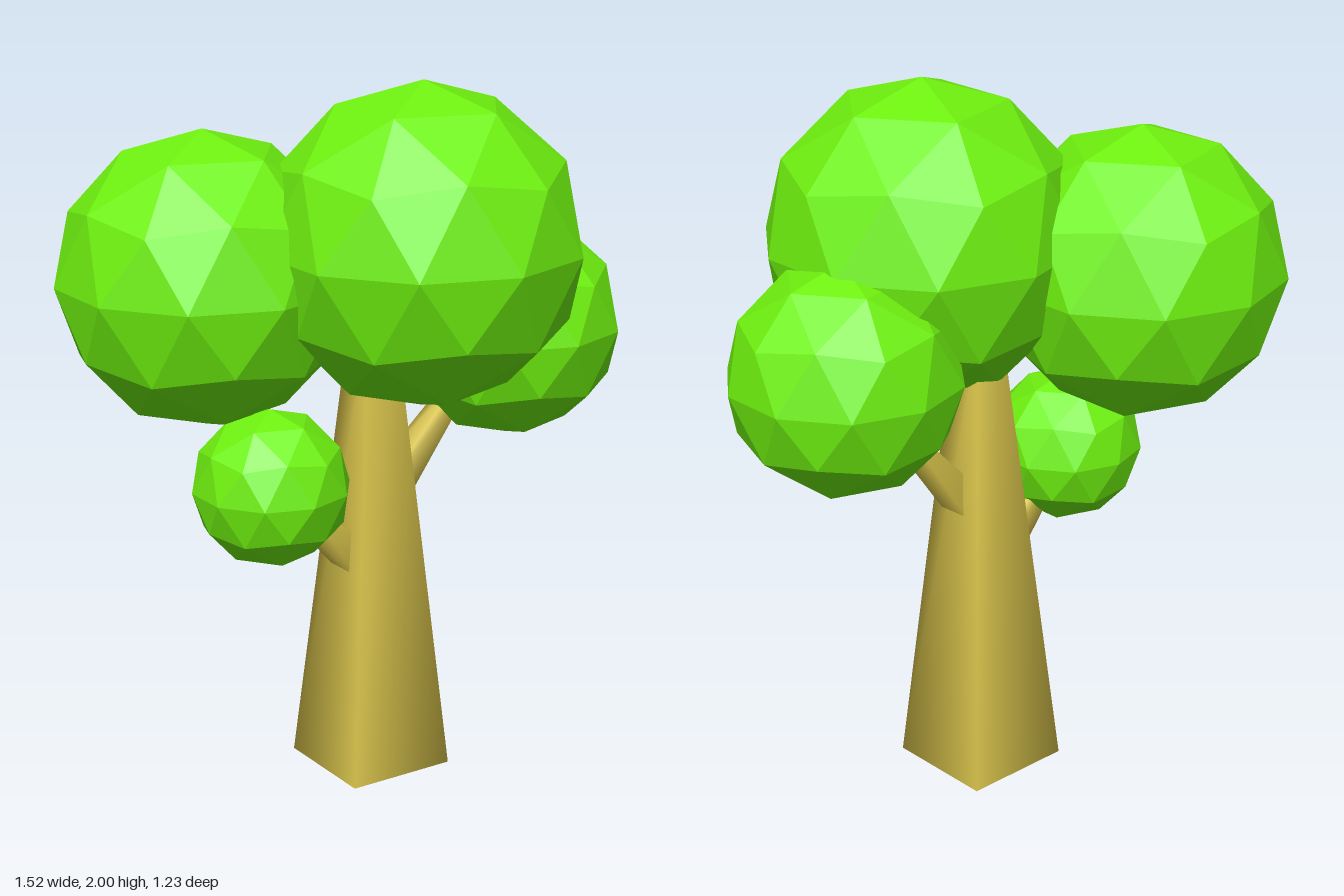
import * as THREE from 'three';
import { mergeVertices } from 'three/addons/utils/BufferGeometryUtils.js';

const bark = new THREE.MeshStandardMaterial({ color: 0xddc84d });
const leaf = new THREE.MeshStandardMaterial({ color: 0x6ef00f, flatShading: true });

// Tapered four-sided limb with smooth shading, running from one point to another
function limb(name, from, to, baseWidth, tipWidth) {
  const a = new THREE.Vector3(...from);
  const dir = new THREE.Vector3(...to).sub(a);
  const length = dir.length();
  let geo = new THREE.BoxGeometry(1, length, 1).translate(0, length / 2, 0);
  const p = geo.attributes.position;
  for (let i = 0; i < p.count; i++) {
    const w = p.getY(i) > length / 2 ? tipWidth : baseWidth;
    p.setX(i, p.getX(i) * w);
    p.setZ(i, p.getZ(i) * w);
  }
  geo.deleteAttribute('normal');
  geo.deleteAttribute('uv');
  geo = mergeVertices(geo);
  geo.computeVertexNormals();
  const mesh = new THREE.Mesh(geo, bark);
  mesh.name = name;
  mesh.position.copy(a);
  mesh.quaternion.setFromUnitVectors(new THREE.Vector3(0, 1, 0), dir.normalize());
  return mesh;
}

// Faceted ball standing on a corner: two poles and two staggered rings of five
function foliage(name, center, radius) {
  const verts = [0, 1, 0];
  const faces = [];
  const h = 1 / Math.sqrt(5), r = 2 * h;
  for (let i = 0; i < 10; i++) {
    const t = (i * Math.PI) / 5;
    verts.push(r * Math.cos(t), i % 2 ? -h : h, -r * Math.sin(t));
  }
  verts.push(0, -1, 0);
  for (let i = 0; i < 10; i++) {
    const a = 1 + i, b = 1 + ((i + 1) % 10), c = 1 + ((i + 2) % 10);
    if (i % 2) faces.push(a, c, b, 11, c, a);
    else faces.push(a, b, c, 0, a, c);
  }
  const mesh = new THREE.Mesh(new THREE.PolyhedronGeometry(verts, faces, radius, 1), leaf);
  mesh.name = name;
  mesh.position.set(...center);
  return mesh;
}

export function createModel() {
  const tree = new THREE.Group();
  tree.name = 'tree';

  // Trunk and branches
  tree.add(
    limb('trunk', [0.04, 0, -0.007], [0.045, 1.3, -0.007], 0.325, 0.095),
    limb('leftBranch', [0.05, 0.77, 0], [0.36, 1.15, 0.03], 0.1, 0.04),
    limb('rightBranch', [0.01, 0.6, -0.005], [-0.25, 0.86, -0.005], 0.1, 0.06)
  );

  // Crown
  tree.add(
    foliage('topFoliage', [0.088, 1.555, 0.168], 0.446),
    foliage('backFoliage', [-0.374, 1.45, -0.202], 0.412),
    foliage('leftFoliage', [0.45, 1.27, 0.072], 0.325),
    foliage('lowFoliage', [-0.29, 0.893, -0.005], 0.222)
  );
  return tree;
}
